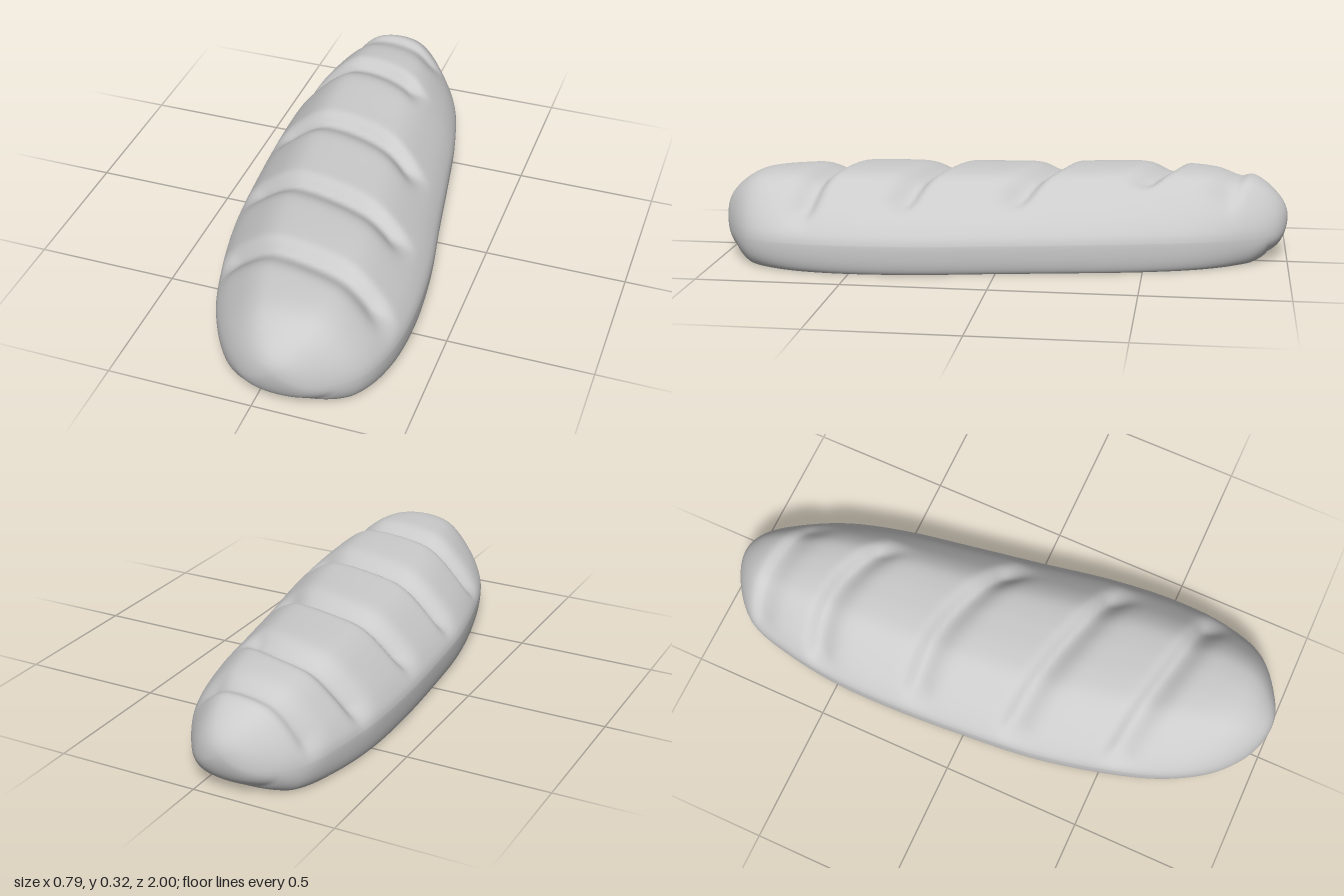
import * as THREE from 'three';

// Stations from back to front, at z = -cos(PI * k / 12): [right x, left x, top y, bottom y]
const STATIONS = [
  [-0.10, -0.10, 0.14, 0.14], [-0.215, 0.005, 0.22, 0.045], [-0.32, 0.09, 0.29, 0],
  [-0.367, 0.175, 0.312, 0], [-0.394, 0.235, 0.322, 0], [-0.395, 0.28, 0.318, 0],
  [-0.38, 0.325, 0.316, 0], [-0.355, 0.372, 0.318, 0], [-0.305, 0.393, 0.322, 0],
  [-0.24, 0.38, 0.317, 0], [-0.15, 0.322, 0.302, 0], [-0.04, 0.195, 0.235, 0.045],
  [0.075, 0.075, 0.155, 0.155],
];

// Crust cross-section above the widest line, as fractions of half width and height
const HALF_DOME = [[1, 0], [0.97, 0.14], [0.87, 0.36], [0.72, 0.6], [0.56, 0.81], [0.4, 0.94], [0.2, 0.99]];
const DOME = new THREE.SplineCurve([
  ...HALF_DOME.map(([x, y]) => new THREE.Vector2(x, y)),
  new THREE.Vector2(0, 1),
  ...HALF_DOME.map(([x, y]) => new THREE.Vector2(-x, y)).reverse(),
]);

// Slashes across the crust: start x, z at start / middle / end, end x, depth
const SLASHES = [
  [-0.36, -0.82, -0.83, -0.78, 0.08, 0.022],
  [-0.39, -0.57, -0.59, -0.50, 0.09, 0.036],
  [-0.37, -0.20, -0.18, -0.06, 0.22, 0.038],
  [-0.35, 0.16, 0.22, 0.32, 0.29, 0.038],
  [-0.29, 0.53, 0.59, 0.66, 0.34, 0.038],
];

// Closed smooth outline: out along one column of the stations, back along the other
function outline(forward, back) {
  const n = STATIONS.length - 1;
  const points = [];
  for (let k = 0; k < 2 * n; k++) {
    const row = k <= n ? k : 2 * n - k;
    points.push(new THREE.Vector3(STATIONS[row][k <= n ? forward : back], 0, -Math.cos(Math.PI * row / n)));
  }
  return new THREE.CatmullRomCurve3(points, true, 'catmullrom', 0.5);
}

// How deep the crust is cut at a point: steep on the back wall, gentle in front
function slashDepth(x, y, z) {
  let depth = 0;
  for (const [x0, z0, zm, z1, x1, d] of SLASHES) {
    const t = THREE.MathUtils.clamp((x - x0) / (x1 - x0), 0, 1);
    const line = z0 * (1 - t) * (1 - 2 * t) + zm * 4 * t * (1 - t) + z1 * t * (2 * t - 1);
    const ends = THREE.MathUtils.smoothstep(x, x0 - 0.02, x0 + 0.05)
      * (1 - THREE.MathUtils.smoothstep(x, x1 - 0.04, x1 + 0.04));
    const side = THREE.MathUtils.smoothstep(y, 0.08, 0.18);
    const width = z < line ? 0.03 : 0.06;
    depth += d * ends * side * Math.exp(-(((z - line) / width) ** 2));
  }
  return depth;
}

function loafGeometry() {
  const plan = outline(1, 0), profile = outline(2, 3);
  const rows = 200, floorCols = 6, edgeCols = 12, domeCols = 56;
  const cols = 2 * (floorCols + edgeCols) + domeCols;
  const positions = [], index = [];
  for (let i = 0; i <= rows; i++) {
    const u = i / rows / 2;
    const left = plan.getPoint(u), right = plan.getPoint((1 - u) % 1);
    const top = profile.getPoint(u).x;
    const bottom = Math.max(0, profile.getPoint((1 - u) % 1).x);
    const z = left.z;
    const centre = (left.x + right.x) / 2, half = (left.x - right.x) / 2;
    const waist = bottom + 0.32 * (top - bottom);
    // half widths of the flat underside and of the opening in it
    const flat = Math.abs(z) < 0.93
      ? half * 0.93 * Math.sqrt((1 - (z / 0.93) ** 4) / (1 - z ** 4)) : 0;
    const hole = 0.152 * Math.sqrt(Math.max(0, 1 - Math.abs(z / 0.7) ** 2.6));

    const section = [];
    // underside from the opening outwards, then the rounded lower edge
    for (let j = 0; j < floorCols; j++) section.push([hole + (flat - hole) * j / floorCols, bottom]);
    for (let j = 0; j < edgeCols; j++) {
      const a = Math.PI / 2 * j / edgeCols;
      section.push([flat + (half - flat) * Math.sin(a) ** 0.9, waist - (waist - bottom) * Math.cos(a) ** 0.9]);
    }
    const mirrored = section.map(([x, y]) => [-x, y]).reverse();
    // domed crust, rounder towards the tips, with the slashes pressed in
    for (let j = 0; j <= domeCols; j++) {
      const t = j / domeCols, a = Math.PI * t, round = Math.abs(z) ** 6;
      const p = DOME.getPoint(t);
      const x = half * THREE.MathUtils.lerp(p.x, Math.cos(a), round);
      const y = waist + (top - waist) * THREE.MathUtils.lerp(p.y, Math.sin(a), round);
      const d = slashDepth(centre + x, y, z);
      section.push([x - d * Math.cos(a) * 0.8, y - d * Math.sin(a)]);
    }
    section.push(...mirrored);

    section.forEach(([x, y], j) => {
      positions.push(centre + x, y, z);
      if (i < rows && j < cols) {
        const p = i * (cols + 1) + j, q = p + cols + 1;
        index.push(p, p + 1, q, p + 1, q + 1, q);
      }
    });
  }
  const geometry = new THREE.BufferGeometry();
  geometry.setAttribute('position', new THREE.Float32BufferAttribute(positions, 3));
  geometry.setIndex(index);
  geometry.computeVertexNormals();
  return geometry;
}

export function createModel() {
  const group = new THREE.Group();
  group.name = 'breadLoaf';
  const crust = new THREE.Mesh(
    loafGeometry(),
    new THREE.MeshStandardMaterial({ color: 0xcccccc, side: THREE.DoubleSide }),
  );
  crust.name = 'crust';
  group.add(crust);
  return group;
}
